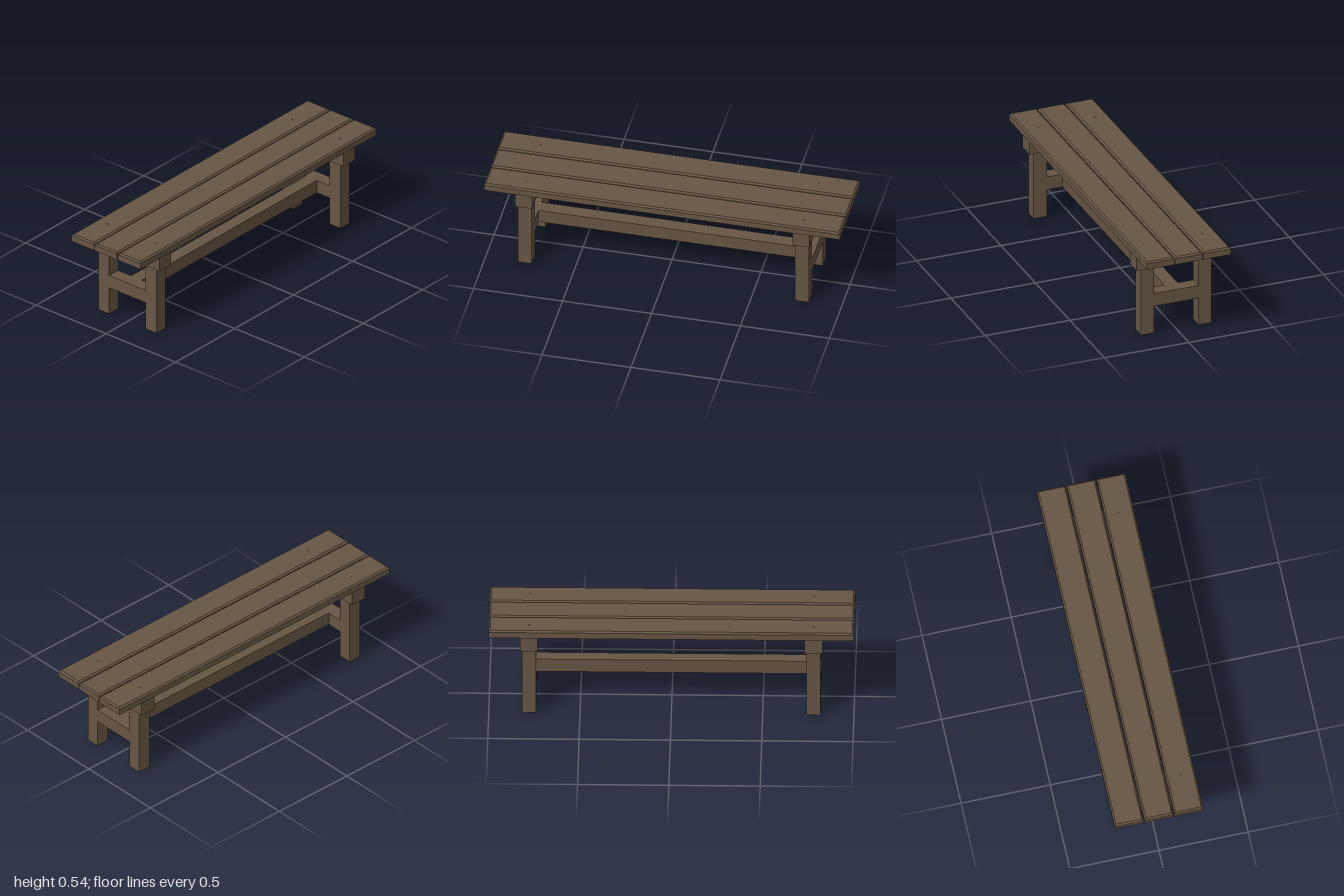
import * as THREE from 'three';

export function createModel() {
  const wood = new THREE.MeshStandardMaterial({ color: 0x665543 });
  wood.name = 'brown wood';
  const bench = new THREE.Group();
  bench.name = 'bench';

  const add = (name, geometry, x, y, z) => {
    const mesh = new THREE.Mesh(geometry, wood);
    mesh.name = name;
    mesh.position.set(x, y, z);
    bench.add(mesh);
    return mesh;
  };
  // Box standing on height y0, reaching y1
  const block = (name, w, d, y0, y1, x, z) =>
    add(name, new THREE.BoxGeometry(w, y1 - y0, d), x, (y0 + y1) / 2, z);

  // Plank with a chamfer around its top face
  const plankGeometry = (w, h, d, c) => {
    const geo = new THREE.BoxGeometry(w, h, d, 1, 2, 1);
    const p = geo.attributes.position;
    for (let i = 0; i < p.count; i++) {
      const y = p.getY(i);
      if (y > h / 4) {
        p.setX(i, Math.sign(p.getX(i)) * (w / 2 - c));
        p.setZ(i, Math.sign(p.getZ(i)) * (d / 2 - c));
      } else if (y > -h / 4) {
        p.setY(i, h / 2 - c);
      }
    }
    const flat = geo.toNonIndexed();
    flat.computeVertexNormals();
    return flat;
  };

  // Seat planks
  for (const z of [-0.167, 0, 0.167]) {
    add('seatPlank', plankGeometry(2, 0.044, 0.162, 0.009), 0, 0.512, z);
  }

  // Trestle at each end
  for (const side of [-1, 1]) {
    const x = side * 0.779;
    block('crossBeam', 0.096, 0.477, 0.401, 0.49, x, 0);
    block('endStretcher', 0.077, 0.262, 0.163, 0.24, x, 0);
    for (const end of [-1, 1]) {
      block('leg', 0.077, 0.078, 0, 0.401, x, end * 0.17);
      // Peg heads barely rising from the outer planks
      add('peg', new THREE.CylinderGeometry(0.007, 0.007, 0.012, 12), x, 0.5295, end * 0.17);
    }
  }

  // Long rail between the trestles
  block('longRail', 1.481, 0.077, 0.163, 0.24, 0, 0);

  return bench;
}
